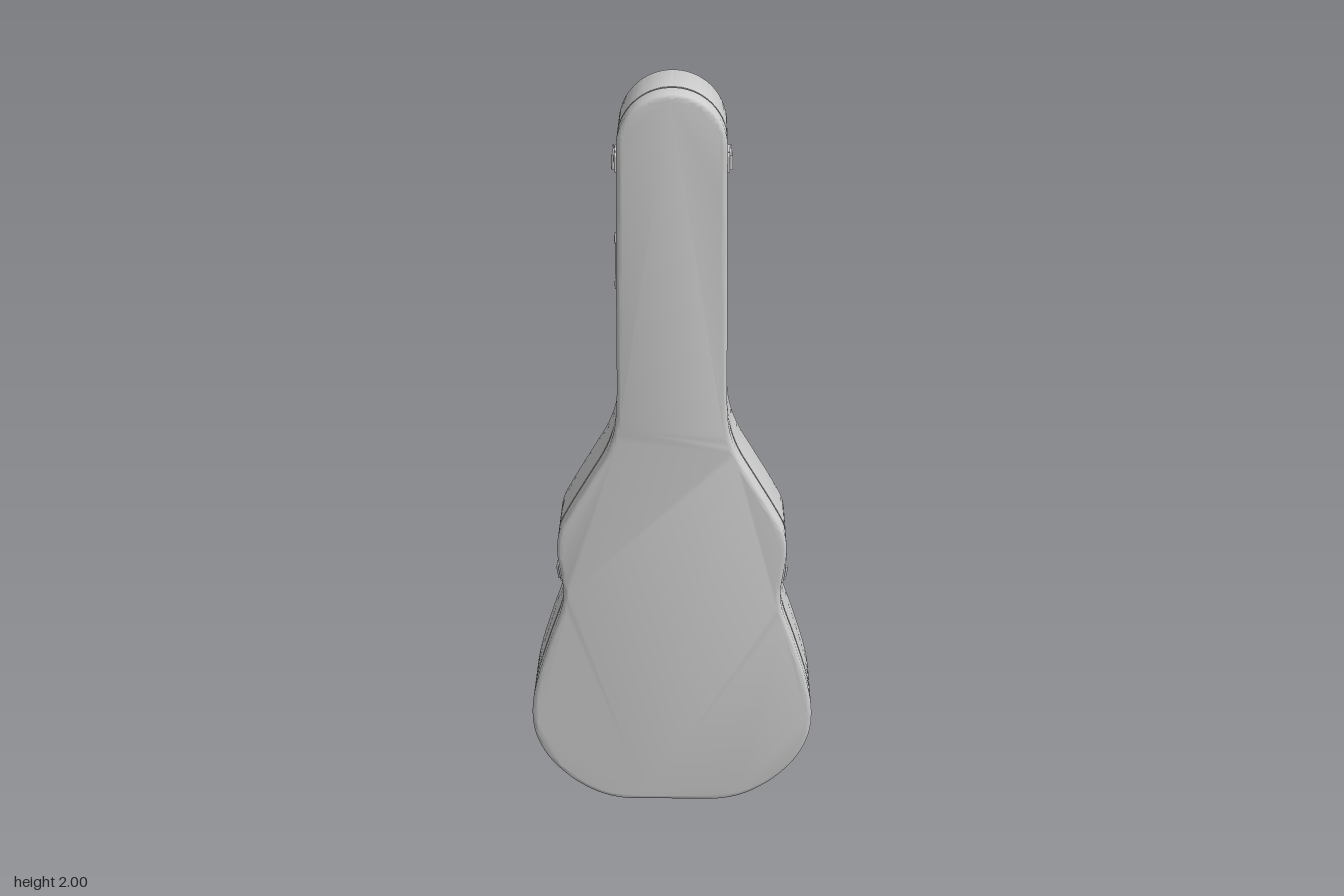
import * as THREE from 'three';
import { toCreasedNormals } from 'three/addons/utils/BufferGeometryUtils.js';
import { RoundedBoxGeometry } from 'three/addons/geometries/RoundedBoxGeometry.js';

const material = new THREE.MeshStandardMaterial({ color: 0xcccccc });

function part(name, geometry, x = 0, y = 0, z = 0) {
  const mesh = new THREE.Mesh(geometry, material);
  mesh.name = name;
  mesh.position.set(x, y, z);
  return mesh;
}

// Half outline of the case, from bottom centre up the side to the neck
const SIDE = [
  [0, 0.02], [0.07, 0.02], [0.135, 0.022], [0.2, 0.04], [0.275, 0.088], [0.335, 0.155],
  [0.368, 0.23], [0.374, 0.3], [0.362, 0.38], [0.325, 0.505], [0.29, 0.61], [0.283, 0.66],
  [0.29, 0.72], [0.297, 0.78], [0.291, 0.835], [0.267, 0.885], [0.215, 0.975], [0.167, 1.06],
  [0.147, 1.12], [0.139, 1.19], [0.137, 1.4], [0.135, 1.62], [0.133, 1.8],
];

// Closed counter-clockwise outline with an outward normal at each point
function makeOutline() {
  const R = 0.133;
  const points = SIDE.map(([x, y]) => new THREE.Vector3(x, y, 0));
  for (let i = 0; i <= 10; i++) {
    const a = (i / 10) * Math.PI / 2;
    points.push(new THREE.Vector3(i === 10 ? 0 : R * Math.cos(a), 2 - R + R * Math.sin(a), 0));
  }
  const half = new THREE.CatmullRomCurve3(points, false, 'centripetal').getPoints((points.length - 1) * 4);
  const mirrored = half.slice(1, -1).reverse().map((p) => new THREE.Vector3(-p.x, p.y, 0));
  const loop = [...half, ...mirrored];
  return loop.map((p, i) => {
    const t = loop[(i + 1) % loop.length].clone().sub(loop.at(i - 1)).normalize();
    return { x: p.x, y: p.y, nx: t.y, ny: -t.x };
  });
}

// Stacks inset copies of the outline along z ([inset, z] pairs) and caps both ends
function loft(outline, profile) {
  const n = outline.length;
  const positions = [];
  const index = [];
  const ring = (inset, z) => outline.map((p) => [p.x - p.nx * inset, p.y - p.ny * inset, z]);
  profile.forEach(([inset, z]) => ring(inset, z).forEach((p) => positions.push(...p)));
  for (let j = 0; j < profile.length - 1; j++) {
    for (let i = 0; i < n; i++) {
      const k = (i + 1) % n;
      const a = j * n + i, b = j * n + k, c = b + n, d = a + n;
      index.push(a, b, c, a, c, d);
    }
  }
  const flat = ring(profile[0][0], 0).map(([x, y]) => new THREE.Vector2(x, y));
  const top = (profile.length - 1) * n;
  for (const [a, b, c] of THREE.ShapeUtils.triangulateShape(flat, [])) {
    index.push(c, b, a, top + a, top + b, top + c);
  }
  const geometry = new THREE.BufferGeometry();
  geometry.setAttribute('position', new THREE.Float32BufferAttribute(positions, 3));
  geometry.setIndex(index);
  return toCreasedNormals(geometry, 0.6);
}

// Quarter-round edge ending on the flat face at z; dir is +1 for front, -1 for back
function roundedEdge(z, dir, r = 0.014, steps = 5) {
  return Array.from({ length: steps + 1 }, (_, i) => {
    const a = (i / steps) * Math.PI / 2;
    return [r * (1 - Math.cos(a)), z - dir * r * (1 - Math.sin(a))];
  });
}

// Latch in local space: +x points out of the case wall, z runs across the seam
function makeLatch() {
  const latch = new THREE.Group();
  latch.name = 'latch';
  latch.add(part('latchPlate', new RoundedBoxGeometry(0.008, 0.05, 0.05, 2, 0.003), 0.002, 0, 0.025));
  latch.add(part('latchLever', new RoundedBoxGeometry(0.009, 0.036, 0.055, 2, 0.004), 0.007, 0, 0.035));
  latch.add(part('latchCatch', new RoundedBoxGeometry(0.008, 0.044, 0.03, 2, 0.0035), 0.002, 0, 0.07));
  latch.add(part('latchHinge', new THREE.CylinderGeometry(0.006, 0.006, 0.048, 12), 0.005, 0, 0.006));
  latch.add(part('latchHook', new THREE.CylinderGeometry(0.005, 0.005, 0.036, 12), 0.008, 0, 0.066));
  return latch;
}

export function createModel() {
  const model = new THREE.Group();
  model.name = 'instrumentCase';
  const outline = makeOutline();

  // Deep shell at the back, shallow lid in front, recessed seam between them
  const back = roundedEdge(-0.115, -1).reverse();
  model.add(part('shell', loft(outline, [...back, [0, 0.047], [0.008, 0.047]])));
  model.add(part('seam', loft(outline, [[0.008, 0.04], [0.008, 0.062]])));
  model.add(part('lid', loft(outline, [[0.008, 0.055], [0, 0.055], ...roundedEdge(0.114, 1)])));

  // Three latches on each side, following the slope of the wall
  const right = outline.filter((p) => p.x > 0.1);
  for (const y of [0.13, 0.71, 1.81]) {
    const p = right.reduce((best, q) => (Math.abs(q.y - y) < Math.abs(best.y - y) ? q : best));
    const angle = Math.atan2(p.ny, p.nx);
    for (const side of [1, -1]) {
      const latch = makeLatch();
      latch.position.set(side * p.x, p.y, 0);
      latch.rotation.z = side > 0 ? angle : Math.PI - angle;
      model.add(latch);
    }
  }

  // Carrying handle folded against one side of the neck
  const handle = new THREE.Group();
  handle.name = 'handle';
  const path = new THREE.CurvePath();
  const grip = [[1.615, 0.035], [1.615, 0], [1.605, -0.01], [1.505, -0.01], [1.495, 0], [1.495, 0.035]]
    .map(([y, z]) => new THREE.Vector3(-0.137, y, z));
  for (let i = 0; i < grip.length - 1; i++) path.add(new THREE.LineCurve3(grip[i], grip[i + 1]));
  handle.add(part('handleGrip', new THREE.TubeGeometry(path, 60, 0.006, 10)));
  for (const y of [1.495, 1.615]) {
    handle.add(part('handleMount', new RoundedBoxGeometry(0.01, 0.022, 0.02, 2, 0.003), -0.137, y, 0.033));
  }
  model.add(handle);

  // Four small feet under the base
  for (const x of [-0.1, 0.1]) {
    for (const z of [-0.06, 0.02]) {
      model.add(part('foot', new THREE.CylinderGeometry(0.013, 0.011, 0.026, 16), x, 0.013, z));
    }
  }
  return model;
}
